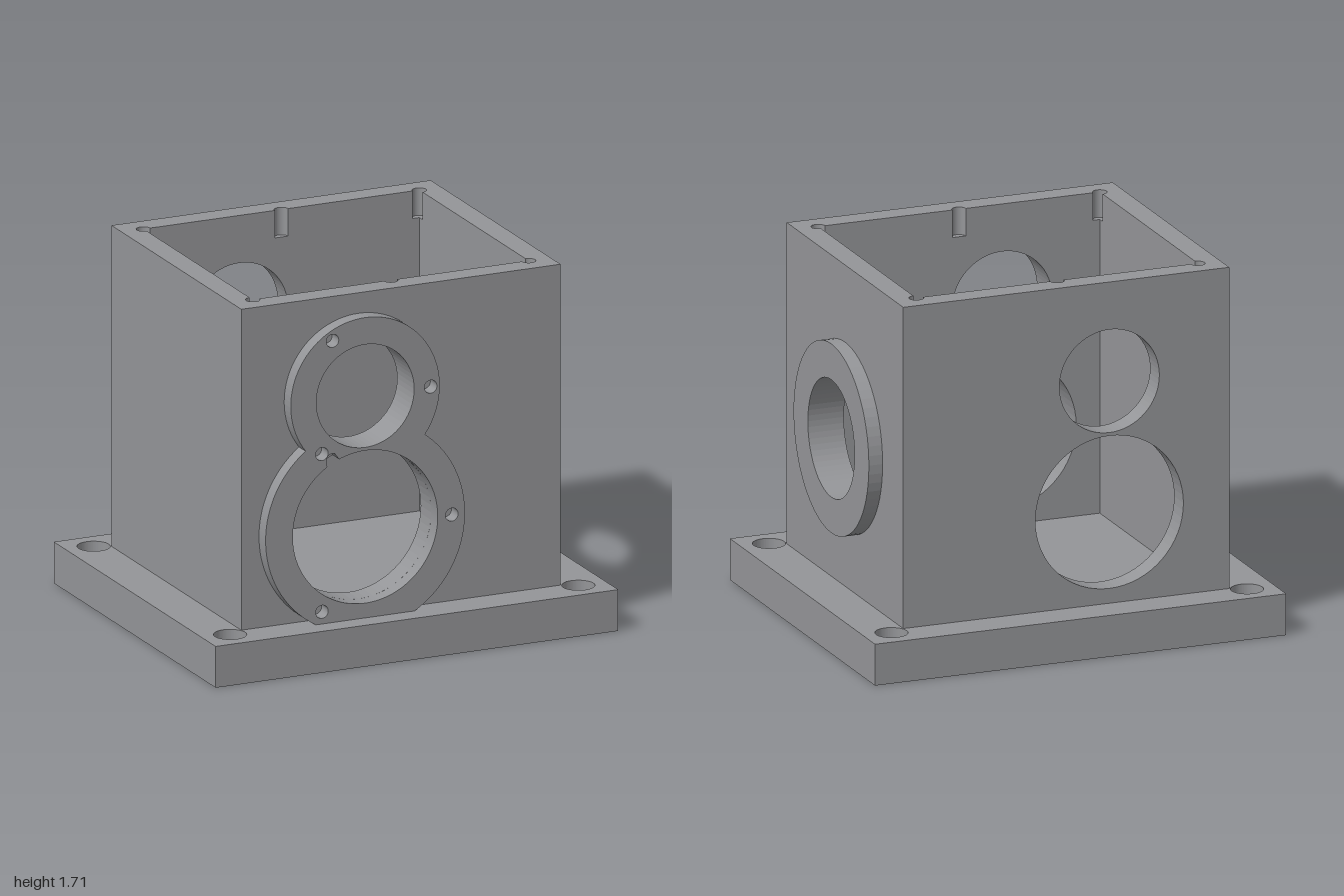
import * as THREE from 'three';

const grey = new THREE.MeshStandardMaterial({ color: 0x949598 });
grey.name = 'matte grey';

const BASE = 0.195, GROOVE = 1.58, TOP = 1.71;   // key heights
const OX = 0.793, OZ = 0.69, IX = 0.685, IZ = 0.58; // outer and inner half sizes
const PI = Math.PI;
const CX = -0.21;
const big = { y: 0.625, hole: 0.36, ring: 0.495, screws: 0.43 };
const small = { y: 1.243, hole: 0.243, ring: 0.37, screws: 0.325 };
const SCREW = 0.031;

function rect(x0, y0, x1, y1) {
  return new THREE.Shape([
    new THREE.Vector2(x0, y0), new THREE.Vector2(x1, y0),
    new THREE.Vector2(x1, y1), new THREE.Vector2(x0, y1)]);
}

function circle(x, y, r) {
  return new THREE.Path().absarc(x, y, r, 0, PI * 2, false);
}

function extrude(name, shape, depth) {
  const geo = new THREE.ExtrudeGeometry(shape, { depth, bevelEnabled: false, curveSegments: 32 });
  const mesh = new THREE.Mesh(geo, grey);
  mesh.name = name;
  return mesh;
}

// Lays a shape drawn in x, z flat, rising from height y
function lay(mesh, y) {
  mesh.rotation.x = -PI / 2;
  mesh.position.y = y;
  return mesh;
}

// Turns a shape drawn in z, y to face +x, starting at x
function faceSide(mesh, x) {
  mesh.rotation.y = PI / 2;
  mesh.position.x = x;
  return mesh;
}

// Large bore outline, bitten by the screw hole that overlaps its edge
function bittenBore() {
  const sx = small.screws * Math.cos(4 * PI / 3);
  const sy = small.y - big.y + small.screws * Math.sin(4 * PI / 3);
  const d = Math.hypot(sx, sy), dir = Math.atan2(sy, sx);
  const points = [];
  for (let i = 0; i < 240; i++) {
    const a = i / 240 * PI * 2;
    const q = SCREW ** 2 - (d * Math.sin(a - dir)) ** 2;
    const far = q > 0 && Math.cos(a - dir) > 0 ? d * Math.cos(a - dir) + Math.sqrt(q) : 0;
    const r = Math.max(big.hole, far);
    points.push(new THREE.Vector2(CX + r * Math.cos(a), big.y + r * Math.sin(a)));
  }
  return new THREE.Path(points);
}

// Figure-eight mounting plate, cut flat where it meets the base
function mountingPlate() {
  const d = small.y - big.y;
  const along = (d * d + big.ring ** 2 - small.ring ** 2) / (2 * d);
  const aBig = Math.asin(along / big.ring);
  const aSmall = Math.asin((along - d) / small.ring);
  const aCut = Math.asin((BASE - big.y) / big.ring);
  const shape = new THREE.Shape();
  shape.absarc(CX, big.y, big.ring, aCut, aBig, false);
  shape.absarc(CX, small.y, small.ring, aSmall, PI - aSmall, false);
  shape.absarc(CX, big.y, big.ring, PI - aBig, PI - aCut, false);
  shape.closePath();
  shape.holes.push(bittenBore(), circle(CX, small.y, small.hole));
  for (const c of [big, small]) {
    for (let i = 0; i < 3; i++) {
      if (c === small && i === 2) continue; // already part of the large bore
      const a = i * PI * 2 / 3;
      shape.holes.push(circle(CX + c.screws * Math.cos(a), c.y + c.screws * Math.sin(a), SCREW));
    }
  }
  const mesh = extrude('mountingPlate', shape, 0.07);
  mesh.position.z = OZ;
  return mesh;
}

// Top of the walls, with six round grooves along the inner edge
function rim() {
  const shape = rect(-OX, -OZ, OX, OZ);
  const inner = new THREE.Path();
  const grooves = [
    [IX, IZ, 1.5, 3], [0, IZ, 0, 1], [-IX, IZ, 0, 1.5],
    [-IX, -IZ, 0.5, 2], [0, -IZ, 1, 2], [IX, -IZ, 1, 2.5]];
  for (const [x, z, a, b] of grooves) inner.absarc(x, z, 0.033, a * PI, b * PI, false);
  inner.closePath();
  shape.holes.push(inner);
  return lay(extrude('rim', shape, TOP - GROOVE), GROOVE);
}

export function createModel() {
  const group = new THREE.Group();
  group.name = 'flangedHousing';

  // Base flange with four bolt holes
  const base = rect(-1, -0.86, 1, 0.86);
  for (const x of [-0.865, 0.865])
    for (const z of [-0.725, 0.725]) base.holes.push(circle(x, z, 0.075));
  group.add(lay(extrude('baseFlange', base, BASE), 0));

  // Front and back walls with the two round openings
  for (const [name, z] of [['frontWall', IZ], ['backWall', -OZ]]) {
    const wall = rect(-OX, BASE, OX, GROOVE);
    for (const c of [big, small]) wall.holes.push(circle(CX, c.y, c.hole));
    const mesh = extrude(name, wall, OZ - IZ);
    mesh.position.z = z;
    group.add(mesh);
  }

  // Side walls, the left one with a round port
  const left = rect(-IZ, BASE, IZ, GROOVE);
  left.holes.push(circle(0, 0.9, 0.277));
  group.add(faceSide(extrude('leftWall', left, OX - IX), IX));
  group.add(faceSide(extrude('rightWall', rect(-IZ, BASE, IZ, GROOVE), OX - IX), -OX));
  group.add(rim());

  // Raised ring around the side port
  const ring = new THREE.Shape().absarc(0, 0.9, 0.446, 0, PI * 2, false);
  ring.holes.push(circle(0, 0.9, 0.277));
  group.add(faceSide(extrude('portRing', ring, 0.067), OX));

  group.add(mountingPlate());
  return group;
}
